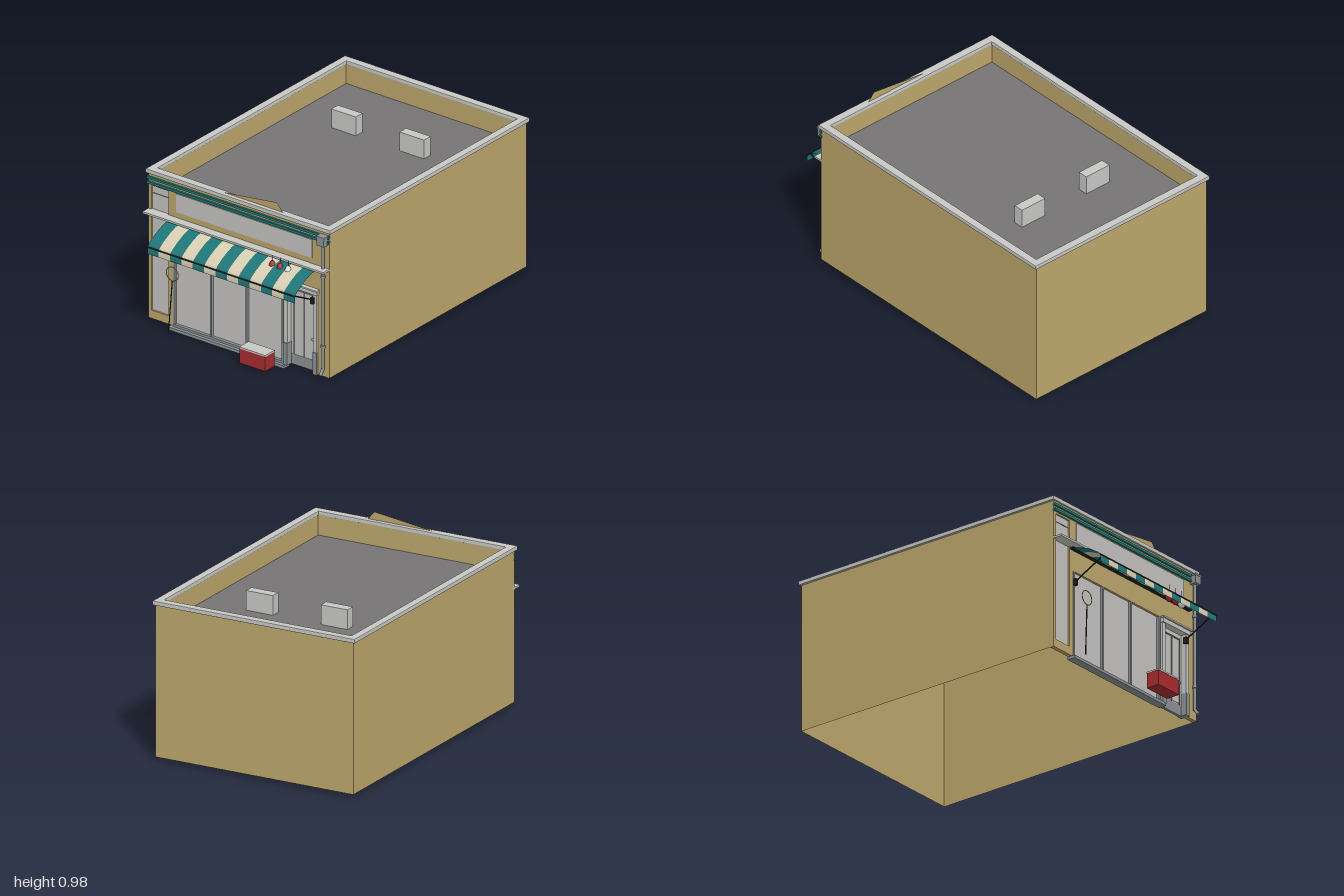
import * as THREE from 'three';

const mat = (name, color, double) => {
  const m = new THREE.MeshStandardMaterial({ color });
  m.name = name;
  if (double) m.side = THREE.DoubleSide;
  return m;
};

export function createModel() {
  const group = new THREE.Group();
  const wall = mat('tan wall', 0xbda76c, true);
  const glass = mat('pale glass', 0xc6c4c2, true);
  const stone = mat('light stone', 0xc8c8c5);
  const metal = mat('grey metal', 0x8d9396);
  const roofGrey = mat('roof grey', 0x767475, true);
  const teal = mat('teal', 0x1f7678, true);
  const cream = mat('cream', 0xd8cfb2, true);
  const red = mat('red', 0xa82c2e);
  const black = mat('black', 0x222224);
  const white = mat('white', 0xe6e6e4);

  const add = (name, geo, m) => {
    const mesh = new THREE.Mesh(geo, m);
    mesh.name = name;
    group.add(mesh);
    return mesh;
  };
  // Box from its low and high corners
  const box = (name, m, x0, x1, y0, y1, z0, z1) =>
    add(name, new THREE.BoxGeometry(x1 - x0, y1 - y0, z1 - z0)
      .translate((x0 + x1) / 2, (y0 + y1) / 2, (z0 + z1) / 2), m);
  // Round rod between two points
  const rod = (name, m, a, b, r, sides = 8) => {
    const p = new THREE.Vector3(...a), q = new THREE.Vector3(...b);
    const mesh = add(name, new THREE.CylinderGeometry(r, r, p.distanceTo(q), sides), m);
    mesh.position.copy(p).add(q).multiplyScalar(0.5);
    mesh.quaternion.setFromUnitVectors(new THREE.Vector3(0, 1, 0), q.sub(p).normalize());
  };
  // Upright sheet between two ground points
  const sheet = (name, m, x0, z0, x1, z1, y0, y1) => {
    const g = new THREE.PlaneGeometry(Math.hypot(x1 - x0, z1 - z0), y1 - y0);
    g.rotateY(Math.atan2(z0 - z1, x1 - x0)).translate((x0 + x1) / 2, (y0 + y1) / 2, (z0 + z1) / 2);
    add(name, g, m);
  };
  const rect = (P, x0, x1, y0, y1) => {
    const p = new P();
    p.moveTo(x0, y0); p.lineTo(x1, y0); p.lineTo(x1, y1); p.lineTo(x0, y1); p.closePath();
    return p;
  };

  // Building shell, open underneath
  sheet('rightWall', wall, 0.63, 0.79, 0.63, -0.99, 0.02, 0.91);
  sheet('leftWall', wall, -0.63, -0.99, -0.63, 0.79, 0.02, 0.91);
  sheet('backWall', wall, 0.63, -0.99, -0.63, -0.99, 0.02, 0.91);
  for (const s of [-1, 1]) sheet('parapetSide', wall, s * 0.6, 0.755, s * 0.6, -0.955, 0.79, 0.91);
  for (const z of [-0.955, 0.755]) sheet('parapetEnd', wall, -0.6, z, 0.6, z, 0.79, 0.91);
  add('roof', new THREE.PlaneGeometry(1.26, 1.77).rotateX(-Math.PI / 2).translate(0, 0.79, -0.1), roofGrey);

  // Front wall with shop opening and tall side window
  const front = new THREE.Shape();
  [[-0.63, 0.02], [-0.46, 0.02], [-0.46, 0.54], [0.545, 0.54], [0.545, 0.02], [0.63, 0.02],
    [0.63, 0.91], [-0.63, 0.91]].forEach(([x, y], i) => (i ? front.lineTo(x, y) : front.moveTo(x, y)));
  front.closePath();
  front.holes.push(rect(THREE.Path, -0.61, -0.49, 0.07, 0.835));
  add('frontWall', new THREE.ExtrudeGeometry(front, { depth: 0.025, bevelEnabled: false }).translate(0, 0, 0.765), wall);
  box('sideWindow', glass, -0.61, -0.49, 0.07, 0.835, 0.772, 0.78);
  box('signPanel', glass, -0.435, 0.512, 0.725, 0.838, 0.788, 0.795);

  // Coping ring around the parapet
  const ring = rect(THREE.Shape, -0.638, 0.638, -0.795, 0.995);
  ring.holes.push(rect(THREE.Path, -0.6, 0.6, -0.755, 0.955));
  add('coping', new THREE.ExtrudeGeometry(ring, {
    depth: 0.016, bevelEnabled: true, bevelSize: 0.005, bevelThickness: 0.005, bevelSegments: 2,
  }).rotateX(-Math.PI / 2).translate(0, 0.912, 0), stone);

  // Pointed board behind the front coping
  const peak = new THREE.Shape([[-0.14, 0.93], [0.297, 0.93], [0.254, 0.981]].map(p => new THREE.Vector2(...p)));
  add('peakBoard', new THREE.ShapeGeometry(peak).translate(0, 0, 0.775), wall);

  // Roof vents
  for (const x of [-0.24, 0.235]) box('roofVent', stone, x - 0.085, x + 0.085, 0.79, 0.905, -0.525, -0.465);

  // Bands and ledge across the front
  box('upperBand', teal, -0.633, 0.633, 0.876, 0.891, 0.785, 0.802);
  box('lowerBand', teal, -0.633, 0.633, 0.846, 0.861, 0.785, 0.802);
  box('ledge', stone, -0.63, 0.63, 0.678, 0.69, 0.77, 0.845);

  // Shop window
  box('shopGlass', glass, -0.46, 0.315, 0.02, 0.54, 0.768, 0.776);
  for (const x of [-0.45, -0.195, 0.053, 0.303]) box('mullion', metal, x - 0.006, x + 0.006, 0.03, 0.54, 0.77, 0.792);
  box('bottomRail', metal, -0.455, 0.315, 0.018, 0.032, 0.765, 0.795);
  box('windowSill', metal, -0.475, 0.332, 0, 0.018, 0.765, 0.815);

  // Door surround
  for (const [x0, x1] of [[0.32, 0.345], [0.525, 0.55]]) {
    box('doorPilaster', stone, x0, x1, 0.155, 0.51, 0.745, 0.8);
    box('pilasterBase', metal, x0 - 0.002, x1 + 0.002, 0.02, 0.155, 0.745, 0.804);
  }
  box('doorHeader', stone, 0.315, 0.558, 0.51, 0.535, 0.745, 0.808);
  box('headerCap', stone, 0.31, 0.563, 0.535, 0.544, 0.745, 0.818);
  // Door leaf with two glass panes
  box('doorLeaf', stone, 0.345, 0.525, 0.083, 0.51, 0.75, 0.765);
  box('doorKickPlate', metal, 0.345, 0.525, 0.02, 0.083, 0.75, 0.767);
  for (const x of [0.403, 0.471]) box('doorPane', glass, x - 0.032, x + 0.032, 0.09, 0.475, 0.764, 0.768);
  for (const x of [0.367, 0.437, 0.507]) box('doorBead', metal, x - 0.002, x + 0.002, 0.083, 0.48, 0.764, 0.772);
  box('doorTopBead', metal, 0.365, 0.509, 0.477, 0.483, 0.764, 0.772);
  add('doorKnob', new THREE.SphereGeometry(0.007, 10, 8).translate(0.499, 0.212, 0.775), wall);

  // Striped curved awning with a hanging valance
  const profile = [[0.8, 0.668], [0.845, 0.661], [0.89, 0.645], [0.94, 0.62], [0.98, 0.594], [0.997, 0.575], [0.997, 0.535]];
  const x0 = -0.478, step = 1.028 / 13;
  for (let i = 0; i < 13; i++) {
    const g = new THREE.PlaneGeometry(step, 1, 1, profile.length - 1);
    const pos = g.attributes.position;
    for (let v = 0; v < pos.count; v++) {
      const [z, y] = profile[Math.floor(v / 2)];
      pos.setXYZ(v, x0 + step * (i + v % 2), y, z);
    }
    g.computeVertexNormals();
    add('awningStripe', g, i % 2 ? cream : teal);
  }
  box('awningTopRail', black, -0.485, 0.56, 0.663, 0.673, 0.79, 0.812);
  box('awningFrontBar', black, -0.48, 0.552, 0.572, 0.579, 0.994, 1);
  for (const x of [-0.452, 0.523]) {
    box('awningBracket', black, x - 0.01, x + 0.01, 0.452, 0.49, 0.79, 0.812);
    rod('awningArm', black, [x, 0.48, 0.81], [x, 0.576, 0.995], 0.004);
  }

  // Hanging lanterns
  const egg = [[0.001, 0.605], [0.012, 0.608], [0.021, 0.625], [0.022, 0.642], [0.015, 0.66], [0.007, 0.672], [0.001, 0.674]]
    .map(p => new THREE.Vector2(...p));
  [[0.293, red], [0.348, red], [0.403, white]].forEach(([x, m]) => {
    add('lantern', new THREE.LatheGeometry(egg, 14).translate(x, 0, 0.868), m);
    rod('lanternString', black, [x, 0.67, 0.868], [x, 0.707, 0.868], 0.0015, 5);
  });

  // Drainpipe
  box('drainHopper', metal, 0.573, 0.622, 0.835, 0.89, 0.79, 0.83);
  box('hopperRim', metal, 0.57, 0.625, 0.882, 0.893, 0.788, 0.833);
  rod('drainPipe', metal, [0.597, 0.07, 0.805], [0.597, 0.84, 0.805], 0.009, 12);
  rod('drainFoot', metal, [0.597, 0.078, 0.803], [0.597, 0.042, 0.83], 0.009, 12);
  for (const y of [0.212, 0.64]) rod('pipeCollar', metal, [0.597, y - 0.007, 0.805], [0.597, y + 0.007, 0.805], 0.013, 12);

  // Chest in front of the window
  box('chest', red, 0.116, 0.294, 0.018, 0.107, 0.851, 0.934);
  box('chestLid', stone, 0.114, 0.296, 0.107, 0.117, 0.849, 0.936);

  // Hoop on a pole leaning by the window
  add('netHoop', new THREE.TorusGeometry(0.042, 0.0025, 6, 28).translate(-0.415, 0.374, 0.853), wall);
  rod('netPole', black, [-0.415, 0.332, 0.853], [-0.436, 0.02, 0.86], 0.0035, 6);

  return group;
}
